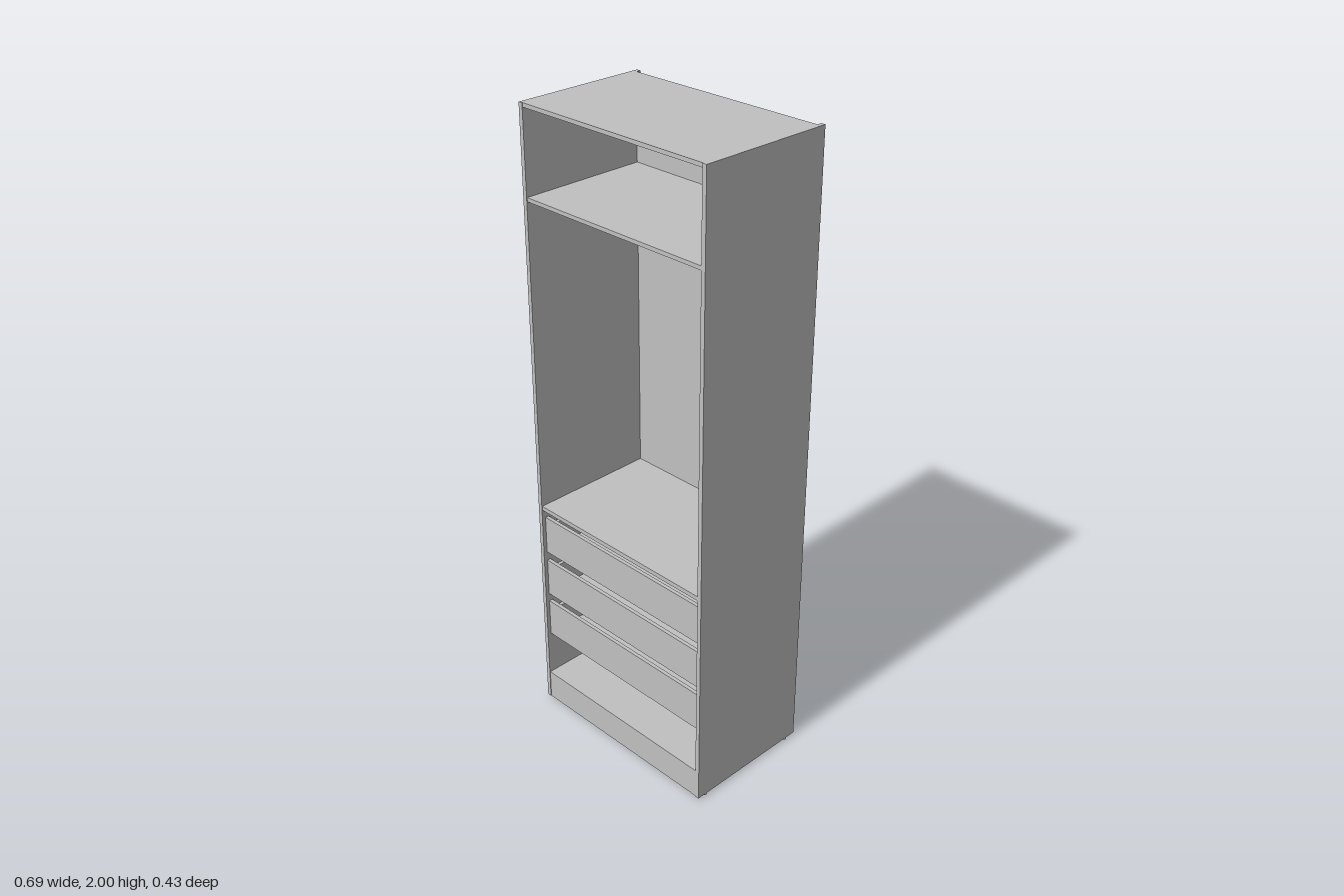
import * as THREE from 'three';

export function createModel() {
  const group = new THREE.Group();
  const grey = new THREE.MeshStandardMaterial({ color: 0xc0c0c0 });
  grey.name = 'panel grey';

  const W = 0.347, T = 0.014, IN = W - T;   // half width, board thickness, inner half width
  const FRONT = 0.213, BACK = -0.202;       // depth of the shelves

  // Board given by its limits on each axis
  const board = (name, [x0, x1], [y0, y1], [z0, z1], parent = group) => {
    const mesh = new THREE.Mesh(new THREE.BoxGeometry(x1 - x0, y1 - y0, z1 - z0), grey);
    mesh.position.set((x0 + x1) / 2, (y0 + y1) / 2, (z0 + z1) / 2);
    mesh.name = name;
    parent.add(mesh);
    return mesh;
  };
  const cylinder = (name, r, h, x, y, z, parent = group) => {
    const mesh = new THREE.Mesh(new THREE.CylinderGeometry(r, r, h, 20), grey);
    mesh.position.set(x, y, z);
    mesh.name = name;
    parent.add(mesh);
    return mesh;
  };
  const inner = [-IN, IN];

  // Sides and feet
  for (const s of [-1, 1]) {
    board(s > 0 ? 'leftSide' : 'rightSide', s > 0 ? [IN, W] : [-W, -IN], [0.008, 2], [-0.217, 0.215]);
    for (const z of [-0.18, 0.18]) cylinder('foot', 0.006, 0.008, s * (W - T / 2), 0.004, z);
  }

  // Top and shelves
  const shelves = [['top', 1.988, 2], ['upperShelf', 1.724, 1.736], ['middleShelf', 0.729, 0.743], ['bottomShelf', 0.094, 0.107]];
  for (const [name, y0, y1] of shelves) board(name, inner, [y0, y1], [BACK, FRONT]);

  // Plinth
  board('frontPlinth', inner, [0.008, 0.094], [FRONT - T, FRONT]);
  board('backPlinth', inner, [0.008, 0.094], [-0.214, -0.202]);

  // Back panels in two halves with a centre joining strip
  for (const [y0, y1] of [[0.094, 0.735], [0.735, 1.73], [1.73, 1.998]]) {
    board('backPanelRight', [-IN, -0.001], [y0, y1], [-0.205, -0.201]);
    board('backPanelLeft', [0.001, IN], [y0, y1], [-0.205, -0.201]);
    board('backJoiningStrip', [-0.004, 0.004], [y0, y1 - 0.012], [-0.2065, -0.205]);
  }

  // Stiffening rails behind the back panels
  board('upperBackRail', inner, [1.645, 1.732], [-0.216, -0.205]);
  board('middleBackRail', inner, [0.724, 0.81], [-0.216, -0.205]);

  // Round fixings along the edges of the back
  for (const s of [-1, 1])
    for (const y of [0.14, 0.4, 0.67, 0.87, 1.23, 1.6, 1.77, 1.94]) {
      cylinder('backFixing', 0.005, 0.006, s * 0.327, y, -0.208).rotation.x = Math.PI / 2;
    }

  // Oval hanging rail with end sockets
  const rod = cylinder('hangingRail', 0.011, 2 * IN, 0, 1.672, 0);
  rod.rotation.z = Math.PI / 2;
  rod.scale.z = 0.6;
  for (const s of [-1, 1]) {
    cylinder('railSocket', 0.014, 0.006, s * (IN - 0.003), 1.672, 0).rotation.z = Math.PI / 2;
  }

  // Drawers with runners
  for (const y of [0.26, 0.415, 0.573]) {
    const drawer = new THREE.Group();
    drawer.name = 'drawer';
    group.add(drawer);
    const box = [y + 0.012, y + 0.108];
    board('drawerFront', [-0.331, 0.331], [y, y + 0.127], [0.192, 0.204], drawer);
    board('drawerBack', [-0.308, 0.308], box, [-0.18, -0.168], drawer);
    board('drawerBottom', [-0.308, 0.308], [y + 0.02, y + 0.025], [-0.168, 0.192], drawer);
    for (const s of [-1, 1]) {
      const span = (a, b) => (s > 0 ? [a, b] : [-b, -a]);
      board('drawerSide', span(0.308, 0.32), box, [-0.18, 0.192], drawer);
      board('drawerRunner', span(0.32, IN), [y + 0.045, y + 0.068], [-0.18, 0.19], drawer);
    }
  }
  return group;
}
